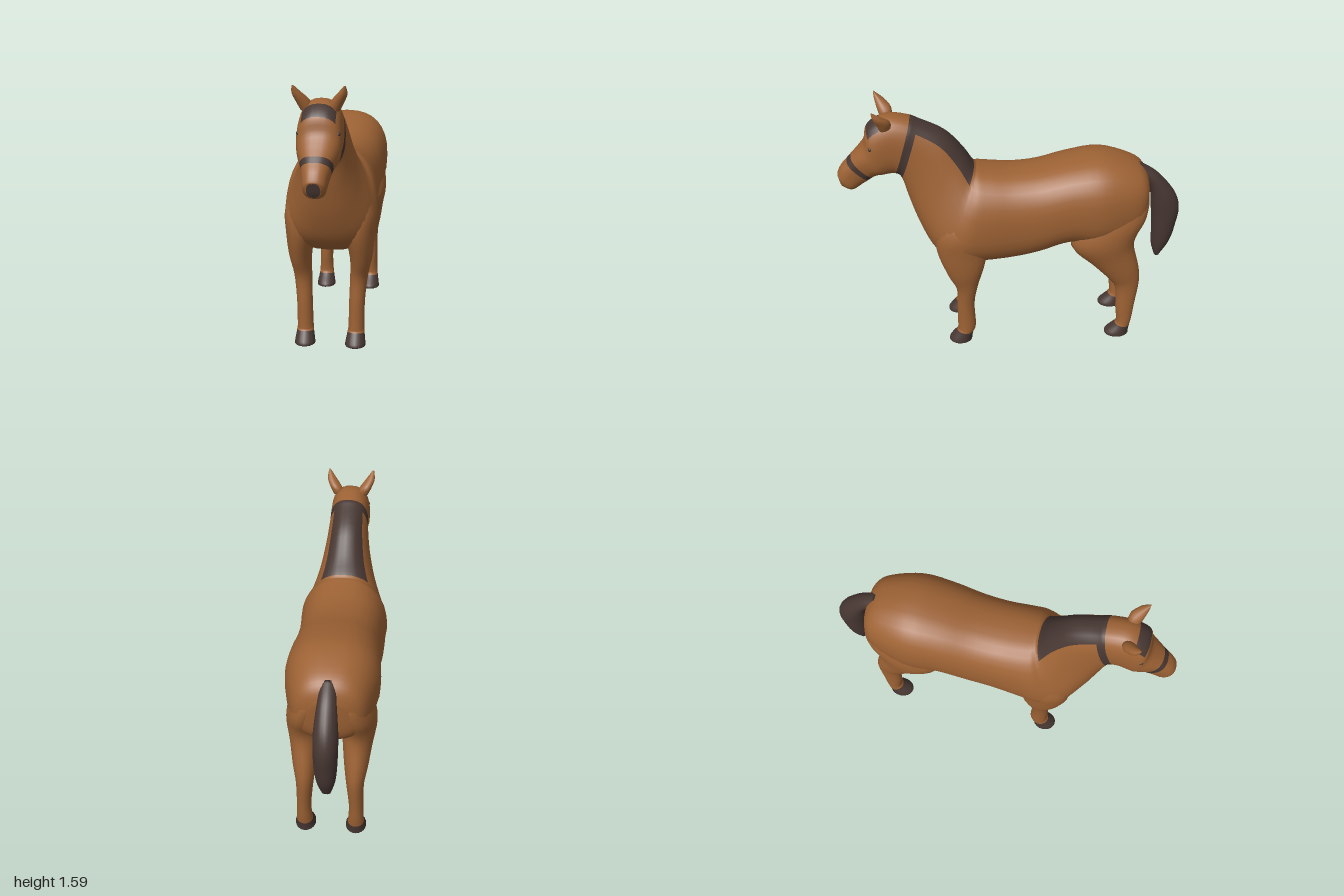
import * as THREE from 'three';

const coat = new THREE.MeshStandardMaterial({ color: 0x9d6234 });
coat.name = 'chestnutCoat';
const dark = new THREE.MeshStandardMaterial({ color: 0x473732 });
dark.name = 'darkHairAndHoof';

// Smooth interpolation of one value between neighbouring sections
function smooth(a, b, c, d, t) {
  return b + 0.5 * t * (c - a + t * (2 * a - 5 * b + 4 * c - d + t * (3 * (b - c) + d - a)));
}

// Skin over sections [z1, y1, z2, y2, halfWidth, xCentre, taper]; ends 1 and 2 span each ring,
// taper narrows the ring towards end 1 and widens it towards end 2
// isDark(interval, stepsFromEnd1) picks the faces that take the dark material
function loft(name, sections, { side = 1, seg = 20, sub = 4, power = 1, isDark = () => false, darkEnd = false } = {}) {
  const last = sections.length - 1, rings = last * sub + 1;
  const pos = [], faces = [[], []];
  const at = (i, k) => sections[Math.min(last, Math.max(0, i))][k] ?? 0;
  const shape = (v) => Math.sign(v) * Math.abs(v) ** power;
  for (let r = 0; r < rings; r++) {
    const i = Math.min(last - 1, Math.floor(r / sub)), t = r / sub - i;
    const [z1, y1, z2, y2, w, xc, taper] = [0, 1, 2, 3, 4, 5, 6].map(
      (k) => smooth(at(i - 1, k), at(i, k), at(i + 1, k), at(i + 2, k), t));
    for (let j = 0; j < seg; j++) {
      const a = (j / seg) * Math.PI * 2, c = shape(Math.cos(a)), s = shape(Math.sin(a));
      pos.push(side * xc + w * s * (1 - taper * c),
        (y1 + y2) / 2 + c * (y1 - y2) / 2, (z1 + z2) / 2 + c * (z1 - z2) / 2);
    }
  }
  for (let r = 0; r < rings - 1; r++) {
    for (let j = 0; j < seg; j++) {
      const n = (j + 1) % seg, a = r * seg + j, b = r * seg + n;
      const m = isDark(Math.floor(r / sub), Math.min(j, seg - 1 - j)) ? 1 : 0;
      faces[m].push(a, b, a + seg, b, b + seg, a + seg);
    }
  }
  // End caps
  for (const end of [0, 1]) {
    const start = end ? (rings - 1) * seg : 0, s = sections[end ? last : 0], hub = pos.length / 3;
    pos.push(side * (s[5] ?? 0), (s[1] + s[3]) / 2, (s[0] + s[2]) / 2);
    const m = (end ? darkEnd : isDark(0, 0)) ? 1 : 0;
    for (let j = 0; j < seg; j++) {
      const a = start + j, b = start + (j + 1) % seg;
      faces[m].push(hub, end ? a : b, end ? b : a);
    }
  }
  // Turn the faces outward
  const all = [...faces[0], ...faces[1]];
  const p = (i) => new THREE.Vector3().fromArray(pos, i * 3);
  let volume = 0;
  for (let i = 0; i < all.length; i += 3) volume += p(all[i]).dot(p(all[i + 1]).cross(p(all[i + 2])));
  if (volume < 0) for (let i = 0; i < all.length; i += 3) [all[i], all[i + 1]] = [all[i + 1], all[i]];
  const geo = new THREE.BufferGeometry();
  geo.setAttribute('position', new THREE.Float32BufferAttribute(pos, 3));
  geo.setIndex(all);
  geo.addGroup(0, faces[0].length, 0);
  geo.addGroup(faces[0].length, faces[1].length, 1);
  geo.computeVertexNormals();
  const mesh = new THREE.Mesh(geo, [coat, dark]);
  mesh.name = name;
  return mesh;
}

// Rump to shoulder
const torso = [
  [-0.80, 1.03, -0.79, 0.90, 0.08],
  [-0.775, 1.11, -0.765, 0.78, 0.165],
  [-0.70, 1.17, -0.68, 0.70, 0.218],
  [-0.52, 1.22, -0.50, 0.66, 0.262],
  [-0.33, 1.195, -0.33, 0.675, 0.255],
  [-0.15, 1.152, -0.15, 0.61, 0.245],
  [0, 1.14, 0, 0.575, 0.243],
  [0.12, 1.152, 0.17, 0.566, 0.253, 0, 0.06],
  [0.19, 1.165, 0.33, 0.575, 0.258, 0, 0.14],
];
// Chest to poll
const neck = [
  [0.22, 1.18, 0.46, 0.66, 0.225, 0, 0.22],
  [0.28, 1.28, 0.545, 0.82, 0.172, 0, 0.2],
  [0.38, 1.395, 0.60, 0.99, 0.135, 0, 0.12],
  [0.525, 1.47, 0.635, 1.125, 0.117, 0, 0.04],
  [0.57, 1.49, 0.67, 1.152, 0.115],
];
// Crown to nose
const head = [
  [0.67, 1.51, 0.68, 1.152, 0.115],
  [0.745, 1.495, 0.69, 1.152, 0.116],
  [0.815, 1.44, 0.705, 1.152, 0.117],
  [0.835, 1.36, 0.735, 1.15, 0.114],
  [0.875, 1.305, 0.765, 1.146, 0.102],
  [0.915, 1.262, 0.79, 1.13, 0.086],
  [0.94, 1.234, 0.815, 1.112, 0.078],
  [0.975, 1.195, 0.86, 1.08, 0.068],
  [0.998, 1.15, 0.915, 1.045, 0.058],
  [0.995, 1.14, 0.975, 1.065, 0.036],
];
const frontLeg = [
  [0.40, 0, 0.26, 0, 0.06, 0.148],
  [0.395, 0.02, 0.258, 0.02, 0.058, 0.148],
  [0.352, 0.075, 0.25, 0.06, 0.05, 0.149],
  [0.345, 0.10, 0.235, 0.11, 0.047, 0.15],
  [0.345, 0.25, 0.24, 0.28, 0.046, 0.153],
  [0.345, 0.40, 0.215, 0.43, 0.052, 0.163],
  [0.395, 0.52, 0.18, 0.56, 0.066, 0.175],
  [0.45, 0.68, 0.16, 0.68, 0.085, 0.168],
  [0.45, 0.82, 0.17, 0.82, 0.09, 0.165],
  [0.39, 0.98, 0.21, 0.98, 0.05, 0.14],
];
const hindLeg = [
  [-0.57, 0, -0.72, 0, 0.06, 0.148],
  [-0.575, 0.02, -0.72, 0.02, 0.058, 0.148],
  [-0.632, 0.075, -0.725, 0.06, 0.048, 0.149],
  [-0.64, 0.11, -0.735, 0.12, 0.044, 0.15],
  [-0.63, 0.20, -0.745, 0.22, 0.042, 0.15],
  [-0.62, 0.35, -0.765, 0.40, 0.05, 0.143],
  [-0.57, 0.43, -0.75, 0.52, 0.066, 0.145],
  [-0.47, 0.54, -0.715, 0.66, 0.084, 0.148],
  [-0.34, 0.68, -0.725, 0.75, 0.10, 0.153],
  [-0.37, 0.82, -0.78, 0.87, 0.10, 0.14],
  [-0.43, 0.98, -0.785, 1.0, 0.08, 0.11],
  [-0.50, 1.10, -0.70, 1.10, 0.03, 0.09],
];
const ear = [
  [0.735, 1.45, 0.67, 1.47, 0.034, 0.07],
  [0.75, 1.495, 0.673, 1.512, 0.036, 0.09],
  [0.765, 1.545, 0.712, 1.55, 0.026, 0.117],
  [0.77, 1.59, 0.765, 1.59, 0.005, 0.132],
];
const tail = [
  [-0.74, 1.15, -0.76, 1.05, 0.045],
  [-0.82, 1.10, -0.79, 1.02, 0.05],
  [-0.88, 1.045, -0.815, 0.96, 0.058],
  [-0.96, 0.945, -0.825, 0.87, 0.067],
  [-0.998, 0.835, -0.835, 0.78, 0.067],
  [-0.985, 0.71, -0.843, 0.68, 0.062],
  [-0.962, 0.60, -0.85, 0.57, 0.05],
  [-0.905, 0.49, -0.875, 0.485, 0.024],
];

export function createModel() {
  const horse = new THREE.Group();
  horse.name = 'horse';

  // Body with mane (9-11), cheek strap (12), forelock (15), noseband (19) and nose tip
  const painted = (i, step) =>
    (i >= 9 && i <= 11 && step < 4) || i === 12 || (i === 15 && step < 4) || i === 19;
  horse.add(loft('body', [...torso, ...neck, ...head],
    { seg: 32, power: 0.82, isDark: painted, darkEnd: true }));

  horse.add(loft('tail', tail, { isDark: () => true, darkEnd: true }));

  for (const side of [1, -1]) {
    const label = side > 0 ? 'left' : 'right';
    const isDark = (i) => i < 2;
    horse.add(loft(label + 'FrontLeg', frontLeg, { side, isDark }));
    horse.add(loft(label + 'HindLeg', hindLeg, { side, isDark }));
    horse.add(loft(label + 'Ear', ear, { side, seg: 12 }));

    const eye = new THREE.Mesh(new THREE.SphereGeometry(0.012, 12, 8), dark);
    eye.name = label + 'Eye';
    eye.position.set(side * 0.102, 1.35, 0.793);
    horse.add(eye);
  }
  return horse;
}
